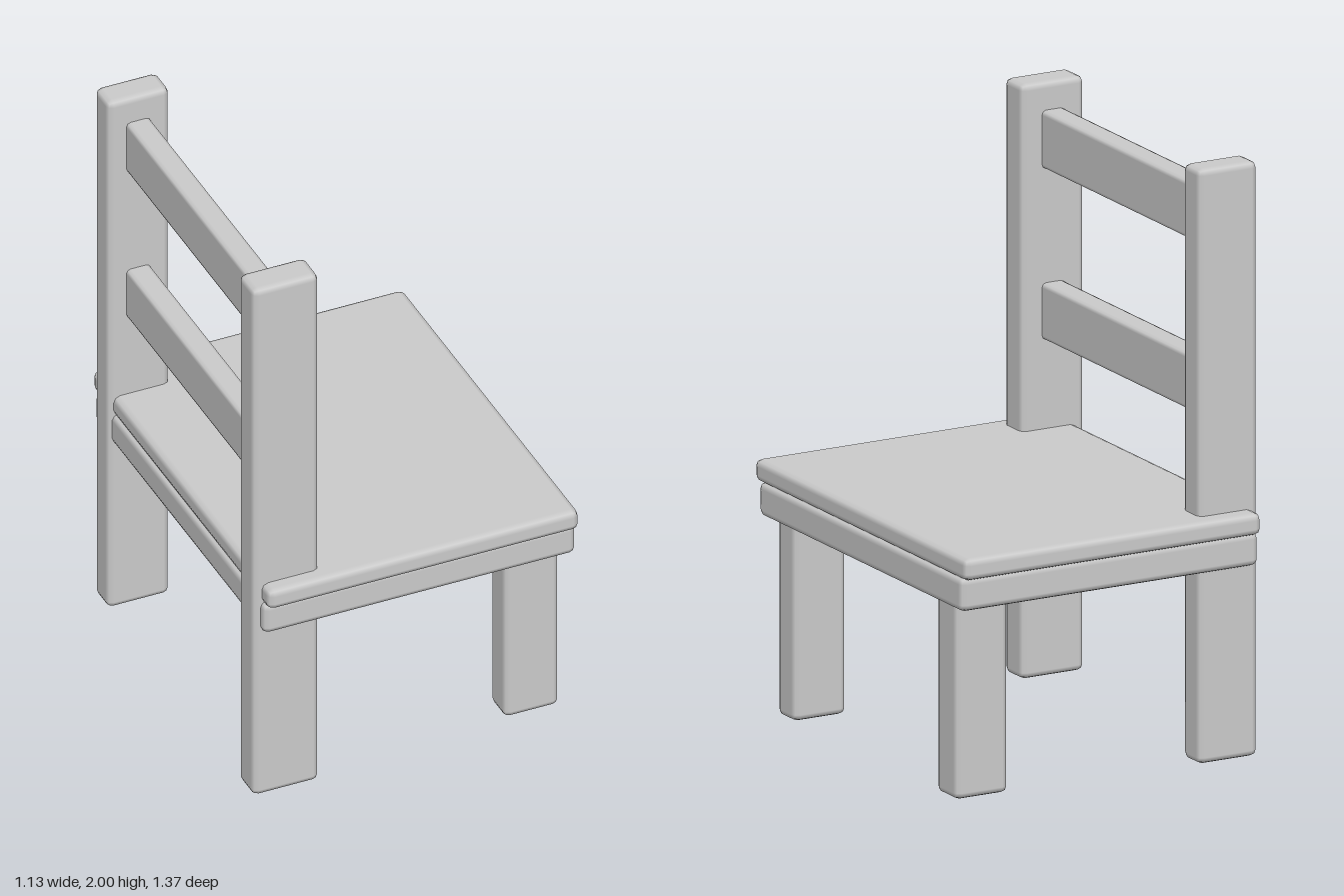
import * as THREE from 'three';
import { RoundedBoxGeometry } from 'three/addons/geometries/RoundedBoxGeometry.js';

export function createModel() {
  const chair = new THREE.Group();
  chair.name = 'chair';
  const material = new THREE.MeshStandardMaterial({ color: 0xcccccc });

  // Board with softened edges, given by its extents on each axis
  function board(name, [x0, x1], [y0, y1], [z0, z1], radius) {
    const geometry = new RoundedBoxGeometry(x1 - x0, y1 - y0, z1 - z0, 1, radius);
    const mesh = new THREE.Mesh(geometry, material);
    mesh.name = name;
    mesh.position.set((x0 + x1) / 2, (y0 + y1) / 2, (z0 + z1) / 2);
    chair.add(mesh);
  }

  // Seat board on a slightly narrower solid base
  board('seat', [-0.54, 0.565], [0.76, 0.835], [-0.687, 0.687], 0.023);
  board('seatBase', [-0.545, 0.565], [0.65, 0.765], [-0.66, 0.66], 0.023);

  // Tall back posts that also form the rear legs
  board('backPostLeft', [-0.57, -0.335], [0, 2], [0.515, 0.632], 0.022);
  board('backPostRight', [-0.56, -0.34], [0, 2], [-0.625, -0.517], 0.022);

  // Short front legs, reaching into the base
  board('frontLegLeft', [0.35, 0.545], [0, 0.7], [0.457, 0.572], 0.022);
  board('frontLegRight', [0.35, 0.545], [0, 0.7], [-0.592, -0.458], 0.022);

  // Two slats between the posts
  board('upperSlat', [-0.495, -0.41], [1.71, 1.905], [-0.56, 0.56], 0.015);
  board('lowerSlat', [-0.495, -0.41], [1.135, 1.325], [-0.56, 0.56], 0.015);

  return chair;
}
